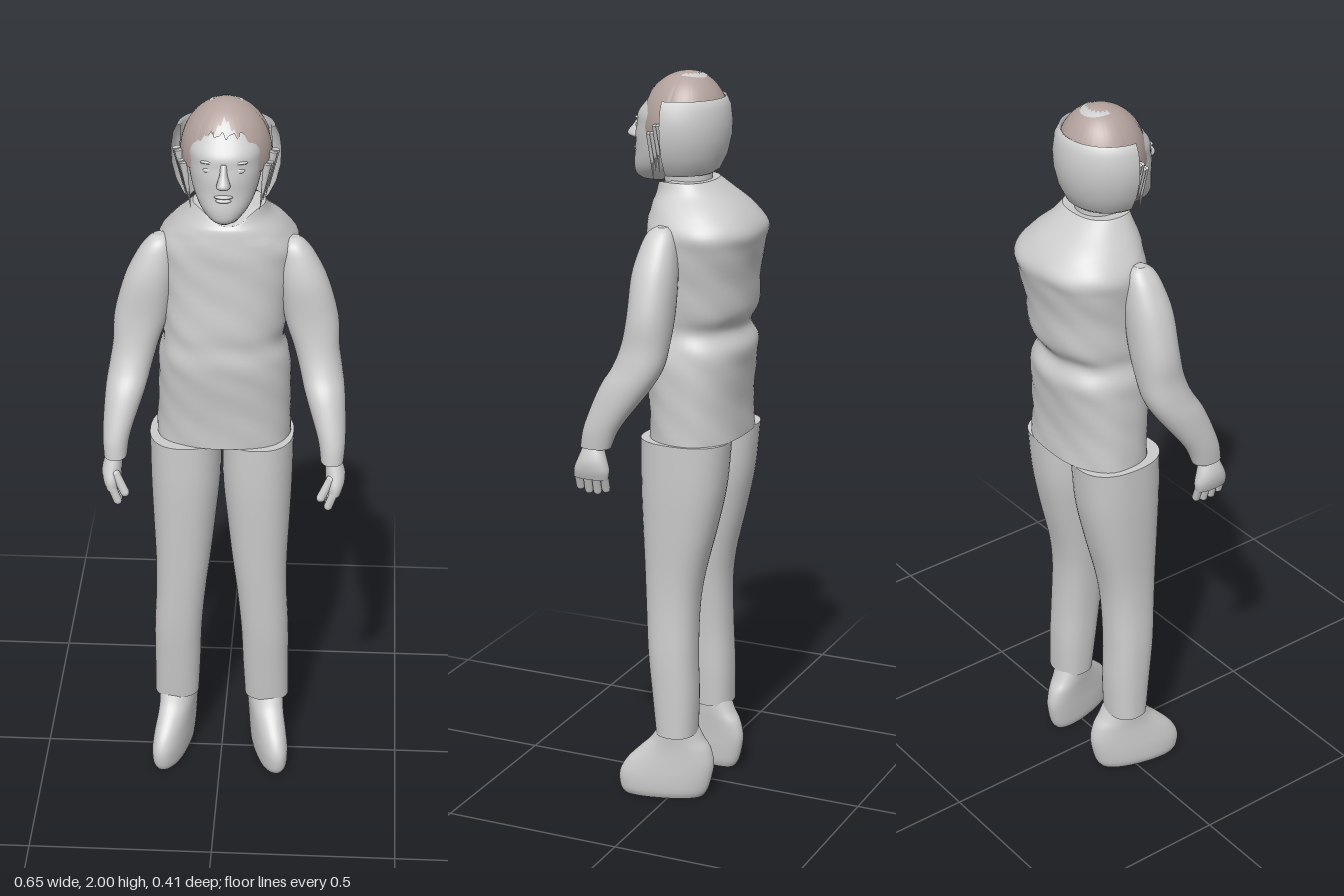
import * as THREE from 'three';

const MID = 0.014; // the upper body sits slightly to the left of the legs

// Smooth interpolation of rows of numbers
function sample(rows, t) {
  const i = Math.min(Math.floor(t), rows.length - 2), f = t - i;
  const at = k => rows[Math.max(0, Math.min(rows.length - 1, k))];
  return rows[i].map((_, c) => {
    const a = at(i - 1)[c], b = at(i)[c], d = at(i + 1)[c], e = at(i + 2)[c];
    return b + 0.5 * f * (d - a + f * (2 * a - 5 * b + 4 * d - e + f * (3 * (b - d) + e - a)));
  });
}

// Closed skin through horizontal rings, bottom to top: [y, xMin, xMax, zBack, zFront]
function loft(rings, { power = 0.9, sides = 40, sub = 5, shape = null } = {}) {
  const pos = [], idx = [], rows = (rings.length - 1) * sub;
  for (let j = 0; j <= rows; j++) {
    const [y, x0, x1, zb, zf] = sample(rings, j / sub);
    for (let i = 0; i < sides; i++) {
      const a = i / sides * Math.PI * 2, s = Math.sin(a), c = Math.cos(a);
      const p = new THREE.Vector3(
        (x0 + x1) / 2 + (x1 - x0) / 2 * Math.sign(s) * Math.abs(s) ** power, y,
        (zb + zf) / 2 + (zf - zb) / 2 * Math.sign(c) * Math.abs(c) ** power);
      if (shape) shape(p, a, j / rows);
      pos.push(p.x, p.y, p.z);
    }
  }
  for (let j = 0; j < rows; j++) for (let i = 0; i < sides; i++) {
    const k = (i + 1) % sides, a = j * sides + i, b = j * sides + k;
    idx.push(a, b, b + sides, a, b + sides, a + sides);
  }
  // end caps with their own corners, so the rims stay sharp
  for (const [row, up] of [[0, false], [rows, true]]) {
    const start = pos.length / 3, mid = [0, 0, 0];
    for (let i = 0; i < sides; i++) for (let c = 0; c < 3; c++) {
      const v = pos[(row * sides + i) * 3 + c];
      pos.push(v);
      mid[c] += v / sides;
    }
    pos.push(...mid);
    for (let i = 0; i < sides; i++) {
      const a = start + i, b = start + (i + 1) % sides;
      idx.push(start + sides, up ? a : b, up ? b : a);
    }
  }
  const g = new THREE.BufferGeometry();
  g.setAttribute('position', new THREE.Float32BufferAttribute(pos, 3));
  g.setIndex(idx);
  g.computeVertexNormals();
  return g;
}

// Patch of the hair dome: angle a from the front, t down from the crown
function dome(a0, a1, top, bottom, grow = 1) {
  const nu = 120, nv = 14, pos = [], idx = [];
  for (let j = 0; j <= nv; j++) for (let i = 0; i <= nu; i++) {
    const a = a0 + (a1 - a0) * i / nu;
    const t = THREE.MathUtils.lerp(bottom(a), top(a), j / nv);
    const c = Math.cos(a), depth = c > 0 ? 0.127 : 0.105;
    pos.push(MID + 0.118 * grow * Math.sin(t) * Math.sin(a), 1.86 + 0.14 * grow * Math.cos(t),
      0.002 + depth * grow * Math.sin(t) * c);
  }
  for (let j = 0; j < nv; j++) for (let i = 0; i < nu; i++) {
    const a = j * (nu + 1) + i, b = a + nu + 1;
    idx.push(a, a + 1, b + 1, a, b + 1, b);
  }
  const g = new THREE.BufferGeometry();
  g.setAttribute('position', new THREE.Float32BufferAttribute(pos, 3));
  g.setIndex(idx);
  g.computeVertexNormals();
  return g;
}

export function createModel() {
  const model = new THREE.Group();
  const grey = new THREE.MeshStandardMaterial({ name: 'plain grey', color: 0xcccccc, side: THREE.DoubleSide });
  const brown = new THREE.MeshStandardMaterial({ name: 'hair brown', color: 0xb3a29d, side: THREE.DoubleSide });
  const add = (name, geo, mat = grey, parent = model) => {
    const m = new THREE.Mesh(geo, mat);
    m.name = name;
    parent.add(m);
    return m;
  };
  const rod = (name, from, to, r, parent) => {
    const a = new THREE.Vector3(...from), b = new THREE.Vector3(...to), d = b.clone().sub(a);
    const m = add(name, new THREE.CapsuleGeometry(r, d.length(), 4, 10), grey, parent);
    m.position.copy(a).add(b).multiplyScalar(0.5);
    m.quaternion.setFromUnitVectors(new THREE.Vector3(0, 1, 0), d.normalize());
  };
  const blob = (name, x, y, z, sx, sy, sz) => {
    const m = add(name, new THREE.SphereGeometry(1, 20, 14), grey, head);
    m.position.set(MID + x, y, z);
    m.scale.set(sx, sy, sz);
  };

  // Shirt with a gathered waist, soft folds and a lowered front neckline
  add('shirt', loft([
    [1.03, -0.175, 0.187, -0.16, 0.088], [1.12, -0.172, 0.186, -0.157, 0.092],
    [1.22, -0.17, 0.184, -0.165, 0.104], [1.28, -0.168, 0.177, -0.17, 0.11],
    [1.33, -0.155, 0.162, -0.15, 0.106], [1.38, -0.157, 0.172, -0.175, 0.107],
    [1.47, -0.158, 0.184, -0.181, 0.1], [1.55, -0.166, 0.197, -0.196, 0.096],
    [1.6, -0.165, 0.2, -0.203, 0.094], [1.65, -0.132, 0.167, -0.165, 0.088],
    [1.69, -0.097, 0.13, -0.115, 0.08], [1.72, -0.073, 0.115, -0.076, 0.074],
  ], {
    power: 0.85, sides: 56,
    shape: (p, a, t) => {
      const fold = t < 0.8 ? 0.0025 * Math.sin(a * 5 + p.y * 38) * Math.sin(p.y * 27 + a * 2) : 0;
      p.x += fold * Math.sin(a);
      p.z += fold * Math.cos(a);
      if (t > 0.85) p.y -= 0.045 * (t - 0.85) / 0.15 * Math.max(0, Math.cos(a)) ** 6;
    },
  }));

  for (const s of [1, -1]) {
    const side = s > 0 ? 'left' : 'right';
    const rings = (list, off = 0) => list.map(([y, a, b, zb, zf]) =>
      s > 0 ? [y, a + off, b + off, zb, zf] : [y, off - b, off - a, zb, zf]);

    // Trouser leg
    add(side + 'TrouserLeg', loft(rings([
      [0.19, 0.066, 0.19, -0.068, 0.042], [0.3, 0.06, 0.189, -0.07, 0.055],
      [0.42, 0.055, 0.188, -0.066, 0.068], [0.55, 0.043, 0.182, -0.067, 0.077],
      [0.65, 0.03, 0.182, -0.08, 0.083], [0.78, 0.015, 0.188, -0.112, 0.09],
      [0.9, 0.003, 0.193, -0.137, 0.095], [1.03, 0.001, 0.195, -0.15, 0.095],
    ]), { power: 0.85 }));

    // Shoe, turned outwards
    add(side + 'Shoe', loft(rings([
      [0, 0.092, 0.168, -0.082, 0.132], [0.02, 0.086, 0.176, -0.095, 0.142],
      [0.06, 0.083, 0.178, -0.106, 0.144], [0.1, 0.082, 0.176, -0.11, 0.125],
      [0.14, 0.08, 0.174, -0.1, 0.088], [0.17, 0.078, 0.175, -0.08, 0.058],
      [0.21, 0.078, 0.178, -0.06, 0.034],
    ]), { shape: p => { p.x += s * 0.24 * p.z; } }));

    // Sleeve, bent forwards at the elbow
    const arm = new THREE.Group();
    arm.name = side + 'Arm';
    model.add(arm);
    add(side + 'Sleeve', loft(rings([
      [1.04, 0.257, 0.318, 0.1, 0.184], [1.1, 0.247, 0.322, 0.073, 0.173],
      [1.2, 0.212, 0.318, 0, 0.137], [1.26, 0.195, 0.309, -0.033, 0.103],
      [1.32, 0.178, 0.3, -0.044, 0.082], [1.4, 0.152, 0.295, -0.05, 0.07],
      [1.5, 0.138, 0.268, -0.05, 0.067], [1.57, 0.137, 0.234, -0.042, 0.052],
      [1.605, 0.145, 0.208, -0.031, 0.037], [1.62, 0.16, 0.19, -0.014, 0.016],
    ], MID)), grey, arm);

    // Hand with hanging fingers
    add(side + 'Palm', loft(rings([
      [0.955, 0.276, 0.314, 0.104, 0.202], [0.98, 0.272, 0.322, 0.1, 0.2],
      [1.01, 0.27, 0.323, 0.108, 0.188], [1.05, 0.27, 0.31, 0.122, 0.172],
    ], MID), { sides: 20 }), grey, arm);
    for (let k = 0; k < 4; k++) {
      const z = 0.115 + k * 0.025, tip = [0.925, 0.917, 0.917, 0.925][k];
      rod(side + 'Finger', [MID + s * 0.295, 0.965, z], [MID + s * 0.28, tip, z + 0.002], 0.0115, arm);
    }
    rod(side + 'Thumb', [MID + s * 0.285, 1.0, 0.18], [MID + s * 0.26, 0.95, 0.192], 0.012, arm);
  }

  // Head and neck
  const head = new THREE.Group();
  head.name = 'head';
  model.add(head);
  const round = (y, r, zb, zf) => [y, MID - r, MID + r, zb, zf];
  add('neck', loft([round(1.62, 0.068, -0.065, 0.06), round(1.69, 0.058, -0.06, 0.066),
    round(1.78, 0.06, -0.06, 0.07)]), grey, head);
  add('face', loft([
    round(1.708, 0.02, 0.07, 0.135), round(1.722, 0.042, 0.035, 0.152),
    round(1.75, 0.066, -0.01, 0.155), round(1.79, 0.084, -0.05, 0.149),
    round(1.83, 0.093, -0.075, 0.148), round(1.86, 0.097, -0.085, 0.143),
    round(1.89, 0.098, -0.085, 0.138), round(1.92, 0.093, -0.08, 0.115),
    round(1.95, 0.08, -0.065, 0.09), round(1.975, 0.055, -0.04, 0.06), round(1.985, 0.02, -0.01, 0.03),
  ]), grey, head);
  add('nose', loft([
    round(1.812, 0.01, 0.13, 0.158), round(1.82, 0.018, 0.13, 0.176),
    round(1.83, 0.016, 0.13, 0.179), round(1.85, 0.01, 0.125, 0.163), round(1.875, 0.008, 0.12, 0.145),
  ], { sides: 16 }), grey, head);
  blob('upperLip', 0, 1.79, 0.148, 0.024, 0.005, 0.01);
  blob('lowerLip', 0, 1.78, 0.148, 0.02, 0.006, 0.01);
  for (const s of [1, -1]) {
    blob('eyelid', s * 0.036, 1.855, 0.129, 0.017, 0.008, 0.009);
    blob('brow', s * 0.036, 1.876, 0.127, 0.024, 0.005, 0.01);
  }

  // Open shell around the back of the head
  const shell = add('backHair', new THREE.LatheGeometry([
    [0.094, 1.735], [0.108, 1.745], [0.128, 1.785], [0.139, 1.83], [0.141, 1.87],
    [0.136, 1.91], [0.124, 1.935], [0.115, 1.93], [0.119, 1.87], [0.11, 1.79], [0.094, 1.735],
  ].map(p => new THREE.Vector2(...p)), 40, Math.PI / 2, Math.PI), grey, head);
  shell.scale.z = 0.95;
  shell.position.set(MID, 0, 0.025);

  // Loose locks beside the cheeks
  for (const s of [1, -1]) for (let k = 0; k < 4; k++) {
    const lock = add('sideLock', new THREE.ConeGeometry(0.011, 0.11 + 0.02 * (k % 2), 8), grey, head);
    lock.position.set(MID + s * (0.118 - 0.007 * k), 1.82 - 0.012 * k, 0.03 + 0.012 * k);
    lock.rotation.set(Math.PI, 0, s * 0.15);
  }

  // Brown hair cap: short fringe, long sides, cropped back
  const edge = a => {
    const m = Math.abs(a), sm = THREE.MathUtils.smoothstep;
    return 0.98 + 0.75 * sm(m, 0.5, 0.8) - 0.58 * sm(m, 1.42, 1.55)
      + 0.05 * Math.sin(a * 23) + 0.03 * Math.sin(a * 41);
  };
  add('hairCap', dome(-Math.PI, Math.PI, () => 0, edge), brown, head);
  // Pale parting at the fringe and crescent on the crown
  add('fringeParting', dome(-0.34, 0.34, a => 0.62 + 1.1 * Math.abs(a) + 0.05 * Math.sin(a * 40), edge, 1.012), grey, head);
  add('crownCrescent', dome(1.5, Math.PI * 2 - 1.5,
    a => 0.28 + 0.03 * Math.sin(a * 17), a => 0.38 - 0.1 * Math.cos(a) * Math.abs(Math.cos(a)), 1.008), grey, head);
  return model;
}
